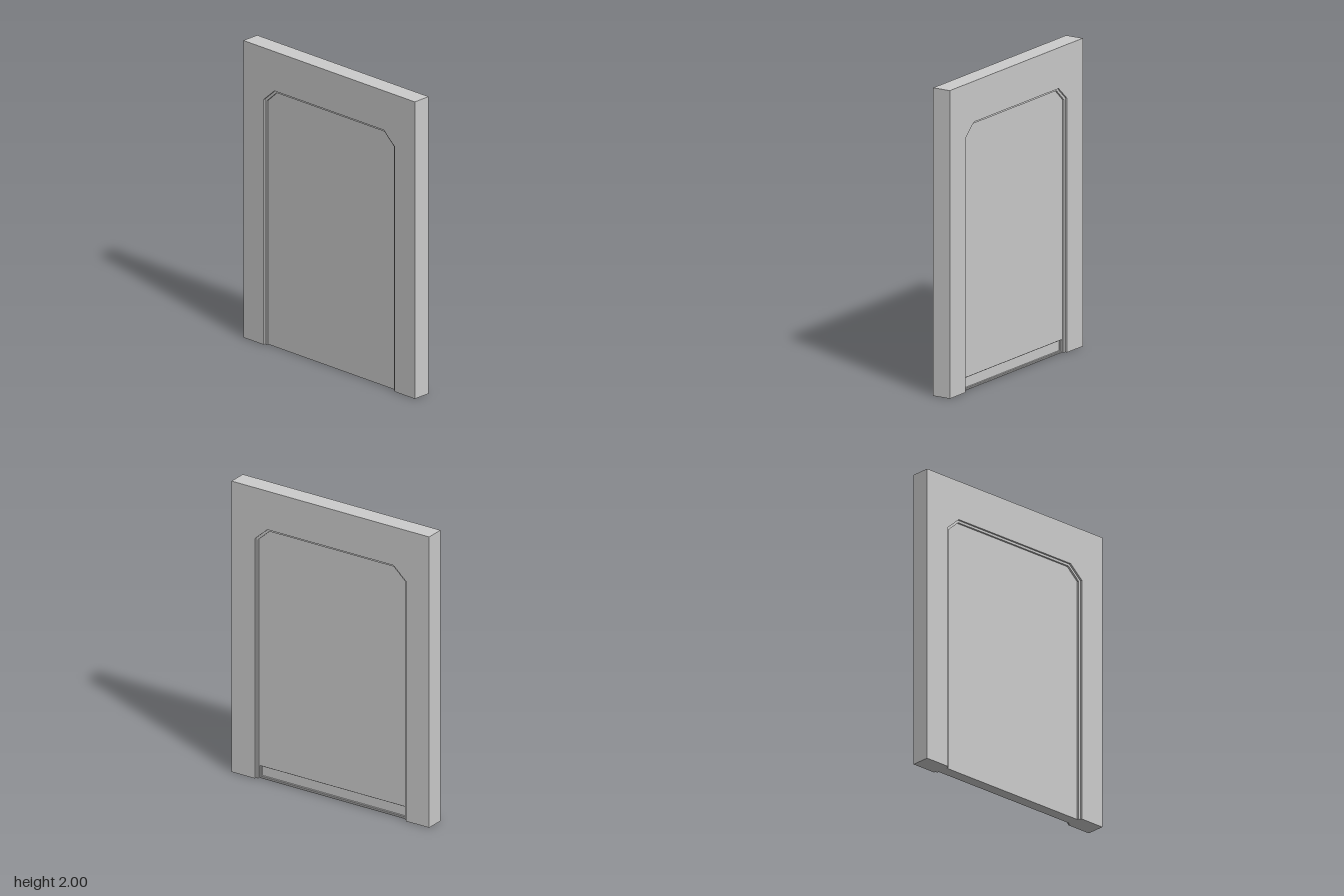
import * as THREE from 'three';

const material = new THREE.MeshStandardMaterial({ color: 0xcccccc, flatShading: true });

// Chamfered doorway outline, from the floor up and over
function doorPoints(half, top, chamferW, chamferH) {
  return [
    [-half, 0], [-half, top - chamferH], [-half + chamferW, top],
    [half - chamferW, top], [half, top - chamferH], [half, 0],
  ].map(([x, y]) => new THREE.Vector2(x, y));
}

const rect = (half, y0, y1) => [[-half, y0], [half, y0], [half, y1], [-half, y1]]
  .map(([x, y]) => new THREE.Vector2(x, y));

// Extrudes a profile drawn in the z-y plane between two x positions
function slab(name, points, x0, x1, hole) {
  const shape = new THREE.Shape(points);
  if (hole) shape.holes.push(new THREE.Path(hole));
  const geometry = new THREE.ExtrudeGeometry(shape, { depth: x1 - x0, bevelEnabled: false });
  geometry.rotateY(Math.PI / 2).translate(x0, 0, 0);
  const mesh = new THREE.Mesh(geometry, material);
  mesh.name = name;
  return mesh;
}

export function createModel() {
  const group = new THREE.Group();
  group.name = 'wallWithDoor';
  const wallX = 0.0625, frameX = 0.05, doorX = 0.0375;
  const outer = doorPoints(0.573, 1.735, 0.095, 0.085);
  const inner = doorPoints(0.557, 1.72, 0.085, 0.078);

  // Wall surrounding the doorway
  const corner = (x, y) => new THREE.Vector2(x, y);
  group.add(slab('wall', [
    corner(-0.75, 0), corner(-0.75, 2), corner(0.75, 2), corner(0.75, 0),
    ...[...outer].reverse(),
  ], -wallX, wallX));

  // Stepped door frame inside the opening
  group.add(slab('doorFrame', [...outer, ...[...inner].reverse()], -frameX, frameX));

  // Door leaf, with a stepped recess at its foot on the +x side
  group.add(slab('doorCore', inner, -doorX, 0.018));
  group.add(slab('recessInnerRim', inner, 0.018, 0.028, rect(0.547, 0.012, 0.079)));
  group.add(slab('doorFace', inner, 0.028, doorX, rect(0.552, 0.006, 0.085)));

  return group;
}
